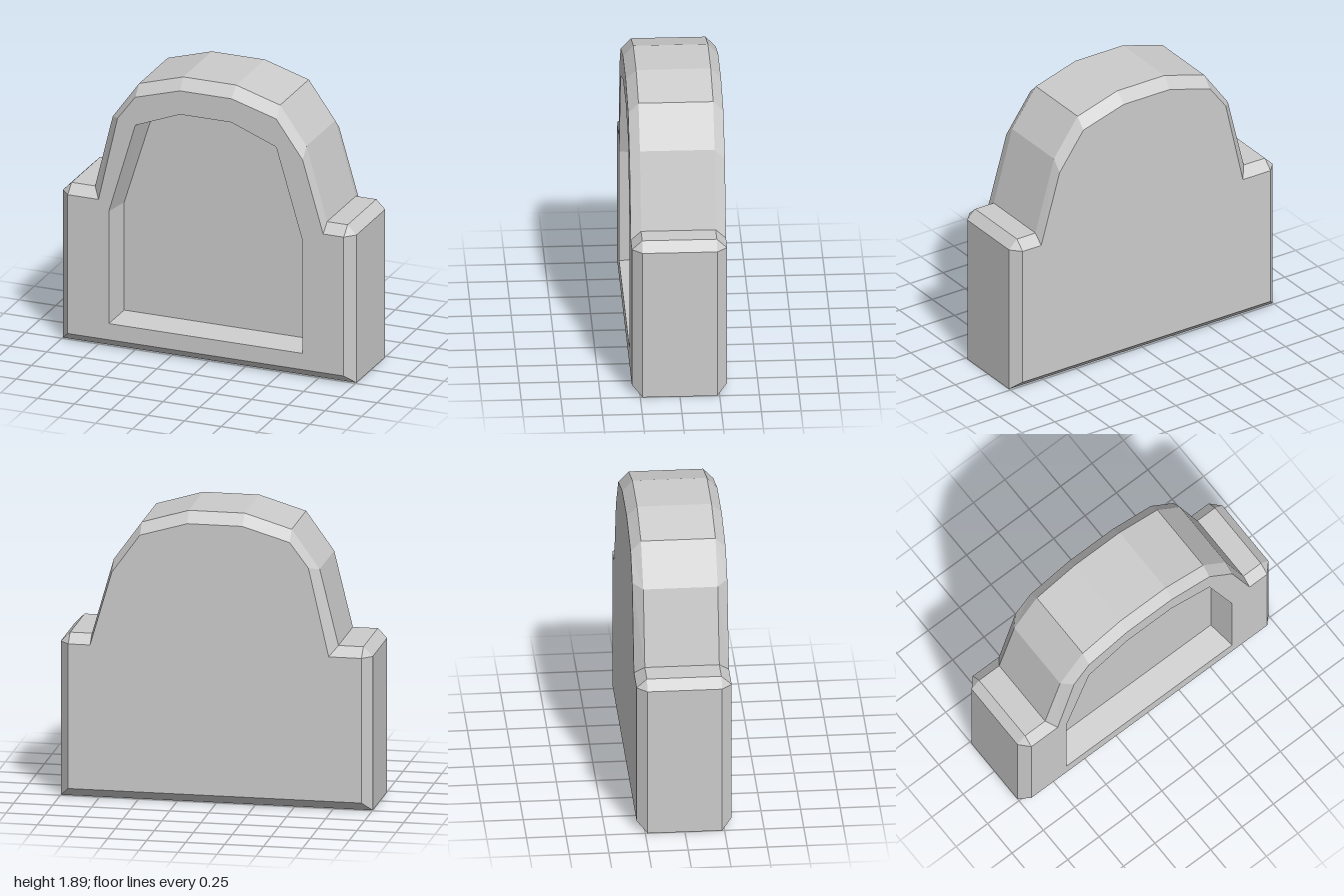
import * as THREE from 'three';
import { mergeGeometries } from 'three/addons/utils/BufferGeometryUtils.js';

const points = (list) => list.map(([x, y]) => new THREE.Vector2(x, y));

// Flat-sided band joining two outlines of equal point count
function band(a, za, b, zb) {
  const pos = [];
  const tri = (...corners) => {
    const [p, q, r] = corners;
    if (new THREE.Triangle(p, q, r).getArea() > 1e-6) corners.forEach((c) => pos.push(c.x, c.y, c.z));
  };
  for (let i = 0; i < a.length; i++) {
    const j = (i + 1) % a.length;
    const a0 = new THREE.Vector3(a[i].x, a[i].y, za), a1 = new THREE.Vector3(a[j].x, a[j].y, za);
    const b0 = new THREE.Vector3(b[i].x, b[i].y, zb), b1 = new THREE.Vector3(b[j].x, b[j].y, zb);
    tri(a0, a1, b1);
    tri(a0, b1, b0);
  }
  const g = new THREE.BufferGeometry();
  g.setAttribute('position', new THREE.Float32BufferAttribute(pos, 3));
  g.computeVertexNormals();
  return g;
}

// Flat face filling an outline, optionally with a hole
function cap(outline, z, hole, facesBack = false) {
  const clean = outline.filter((p, i) => !p.equals(outline[(i + 1) % outline.length]));
  const shape = new THREE.Shape(facesBack ? clean.map((p) => new THREE.Vector2(-p.x, p.y)) : clean);
  if (hole) shape.holes.push(new THREE.Path(hole));
  let g = new THREE.ShapeGeometry(shape);
  if (facesBack) g.rotateY(Math.PI);
  g.translate(0, 0, z);
  g = g.toNonIndexed();
  g.deleteAttribute('uv');
  return g;
}

export function createModel() {
  const group = new THREE.Group();
  const material = new THREE.MeshStandardMaterial({ color: 0xcccccc, flatShading: true });
  const face = 0.3, edge = 0.235, floorZ = 0.12;

  // Outline of the slab, and the smaller outline of its bevelled faces
  const outer = points([
    [-1, 0], [1, 0], [1, 1], [0.94, 1.06], [0.8, 1.06], [0.66, 1.55], [0.48, 1.8], [0.18, 1.89],
    [-0.18, 1.89], [-0.48, 1.8], [-0.66, 1.55], [-0.78, 1.06], [-0.94, 1.06], [-1, 1],
  ]);
  const inner = points([
    [-0.94, 0.06], [0.94, 0.06], [0.94, 1], [0.94, 1], [0.8, 1], [0.66, 1.48], [0.48, 1.73], [0.175, 1.82],
    [-0.175, 1.82], [-0.48, 1.73], [-0.6, 1.57], [-0.73, 1], [-0.94, 1], [-0.94, 1],
  ]);

  // Symmetric outlines of the recess, mirrored from the right half
  const mirrored = (half) => points([...half, ...half.map(([x, y]) => [-x, y]).reverse()]);
  const opening = mirrored([[0.66, 0.17], [0.66, 0.93], [0.48, 1.54], [0.175, 1.66]]);
  const floor = mirrored([[0.63, 0.2], [0.63, 0.93], [0.45, 1.51], [0.17, 1.63]]);

  const add = (name, parts) => {
    const mesh = new THREE.Mesh(mergeGeometries(parts), material);
    mesh.name = name;
    group.add(mesh);
  };

  // Arched slab with bevels front and back
  add('archedSlab', [
    cap(inner, -face, null, true),
    band(inner, -face, outer, -edge),
    band(outer, -edge, outer, edge),
    band(outer, edge, inner, face),
    cap(inner, face, opening),
  ]);

  // Recessed front panel
  add('recessWalls', [band(opening, face, floor, floorZ)]);
  add('recessPanel', [cap(floor, floorZ)]);

  return group;
}
